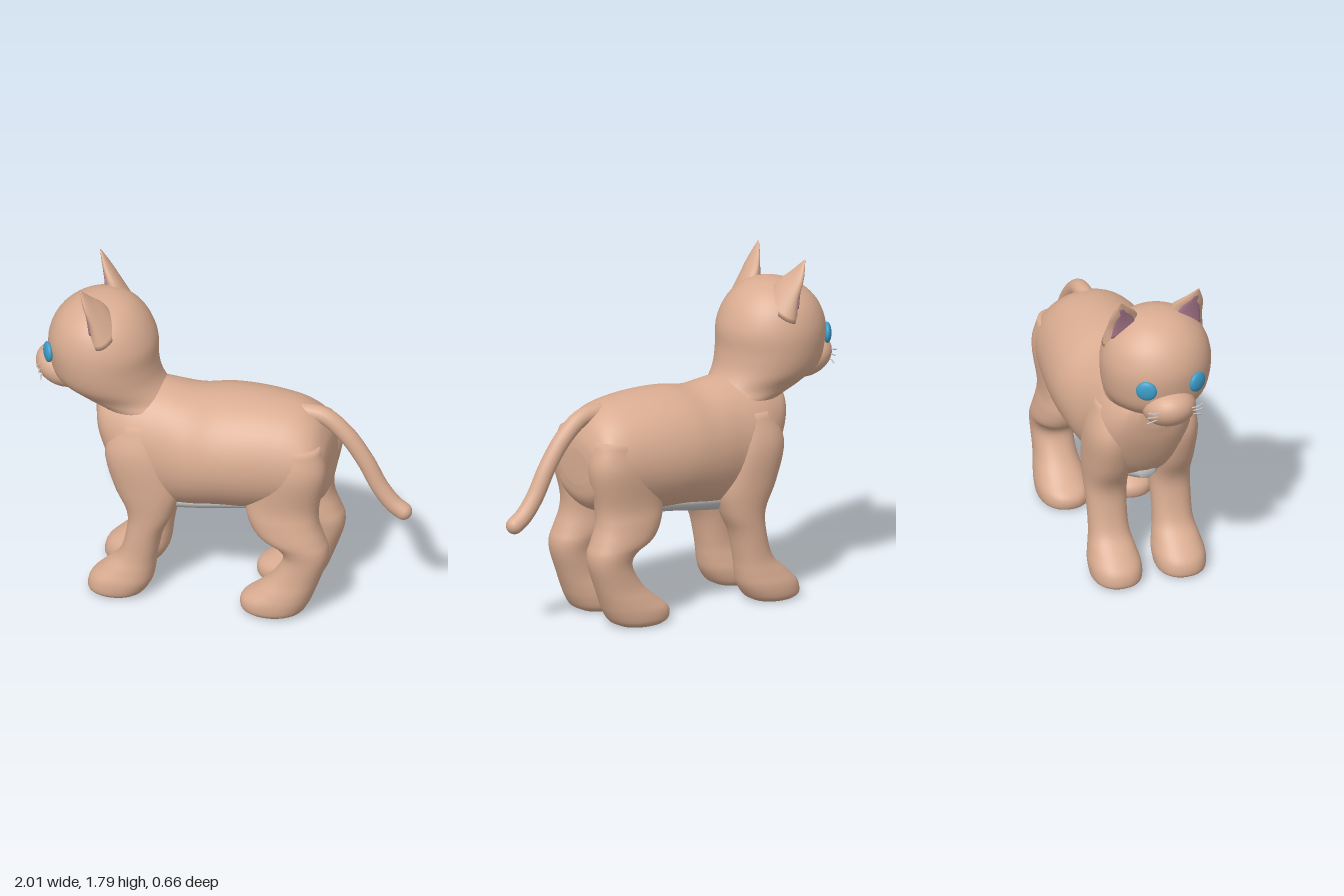
import * as THREE from 'three';

const paint = color => new THREE.MeshStandardMaterial({ color });
const fur = paint(0xd9ac91), grey = paint(0xcccccc), blue = paint(0x3d9cc8), pink = paint(0xa8788c);

// A section is [centre xyz, half-axis u xyz, half-axis v xyz]
const level = (y, x0, x1, z0, z1) =>
  [(x0 + x1) / 2, y, (z0 + z1) / 2, (x1 - x0) / 2, 0, 0, 0, 0, (z1 - z0) / 2];
const slice = (x, top, bottom, rz) =>
  [x, (top + bottom) / 2, 0, 0, (top - bottom) / 2, 0, 0, 0, rz];

// Smooth closed skin through elliptical sections
function loft(sections, steps = 5, sides = 36, power = 1) {
  const curves = [0, 3, 6].map(k => new THREE.CatmullRomCurve3(
    sections.map(s => new THREE.Vector3(s[k], s[k + 1], s[k + 2])), false, 'catmullrom', 0.5));
  const rows = (sections.length - 1) * steps;
  const pos = [], index = [];
  const bend = t => Math.sign(t) * Math.abs(t) ** power;
  for (let i = 0; i <= rows; i++) {
    const [c, u, v] = curves.map(curve => curve.getPoint(i / rows));
    for (let j = 0; j < sides; j++) {
      const a = j / sides * Math.PI * 2;
      const p = c.clone().addScaledVector(u, bend(Math.cos(a))).addScaledVector(v, bend(Math.sin(a)));
      pos.push(p.x, p.y, p.z);
      if (i < rows) {
        const k = i * sides + j, n = i * sides + (j + 1) % sides;
        index.push(k, n, k + sides, n, n + sides, k + sides);
      }
    }
  }
  // End caps
  const first = pos.length / 3;
  for (const s of [sections[0], sections.at(-1)]) pos.push(s[0], s[1], s[2]);
  for (let j = 0; j < sides; j++) {
    const n = (j + 1) % sides, base = rows * sides;
    index.push(first, n, j, first + 1, base + j, base + n);
  }
  // Turn the faces outward
  let volume = 0;
  const at = i => new THREE.Vector3().fromArray(pos, i * 3);
  for (let i = 0; i < index.length; i += 3)
    volume += at(index[i]).dot(at(index[i + 1]).cross(at(index[i + 2])));
  if (volume < 0) index.reverse();
  const g = new THREE.BufferGeometry();
  g.setAttribute('position', new THREE.Float32BufferAttribute(pos, 3));
  g.setIndex(index);
  g.computeVertexNormals();
  return g;
}

export function createModel() {
  const cat = new THREE.Group();
  cat.name = 'cat';
  const add = (name, geometry, material = fur) => {
    const mesh = new THREE.Mesh(geometry, material);
    mesh.name = name;
    cat.add(mesh);
    return mesh;
  };
  const ball = (name, material, p, r) => {
    const mesh = add(name, new THREE.SphereGeometry(1, 28, 20), material);
    mesh.position.set(...p);
    mesh.scale.set(...r);
    return mesh;
  };

  // Torso, chest to rump
  add('body', loft([
    slice(-0.665, 1.08, 0.96, 0.08), slice(-0.63, 1.14, 0.82, 0.17), slice(-0.55, 1.17, 0.65, 0.23),
    slice(-0.45, 1.19, 0.55, 0.265), slice(-0.3, 1.18, 0.5, 0.28), slice(-0.15, 1.16, 0.51, 0.31),
    slice(0, 1.18, 0.535, 0.33), slice(0.15, 1.185, 0.545, 0.325), slice(0.3, 1.175, 0.56, 0.305),
    slice(0.42, 1.15, 0.58, 0.285), slice(0.51, 1.09, 0.61, 0.265), slice(0.56, 1.0, 0.67, 0.22),
    slice(0.575, 0.93, 0.75, 0.12),
  ], 5, 44));

  // Pale underside
  add('belly', loft([
    slice(-0.52, 0.64, 0.56, 0.04), slice(-0.44, 0.64, 0.525, 0.1), slice(-0.3, 0.64, 0.48, 0.16),
    slice(-0.15, 0.66, 0.495, 0.19), slice(0.05, 0.68, 0.525, 0.19), slice(0.25, 0.68, 0.54, 0.15),
    slice(0.4, 0.68, 0.57, 0.08),
  ]), grey);

  // Skull and neck in one skin
  add('head', loft([
    level(0.92, -0.62, -0.12, -0.16, 0.16), level(1.05, -0.665, -0.18, -0.2, 0.2),
    level(1.12, -0.8, -0.27, -0.215, 0.215), level(1.2, -0.895, -0.335, -0.262, 0.262),
    level(1.3, -0.925, -0.36, -0.285, 0.285), level(1.42, -0.932, -0.365, -0.287, 0.287),
    level(1.53, -0.89, -0.41, -0.25, 0.25), level(1.61, -0.81, -0.48, -0.175, 0.175),
    level(1.65, -0.72, -0.56, -0.09, 0.09), level(1.66, -0.65, -0.63, -0.01, 0.01),
  ], 5, 44));
  const muzzle = ball('muzzle', fur, [-0.86, 1.205, 0], [0.15, 0.105, 0.14]);
  muzzle.rotation.z = -0.35;
  ball('nose', grey, [-0.985, 1.245, 0], [0.015, 0.014, 0.022]);

  // Tail with a rounded tip
  const tailPath = [[0.36, 1.1], [0.45, 1.11], [0.54, 1.095], [0.65, 1.005], [0.75, 0.865],
    [0.83, 0.715], [0.9, 0.625], [0.955, 0.585]].map(([x, y]) => new THREE.Vector3(x, y, 0));
  add('tail', new THREE.TubeGeometry(new THREE.CatmullRomCurve3(tailPath), 40, 0.046, 18));
  ball('tailTip', fur, [0.955, 0.585, 0], [0.045, 0.045, 0.045]);

  for (const s of [1, -1]) {
    const side = s > 0 ? 'left' : 'right';
    const leg = (y, x0, x1, z0, z1) => level(y, x0, x1, s * z0, s * z1);

    add(side + 'FrontLeg', loft([
      leg(0, -0.655, -0.42, 0.07, 0.28), leg(0.025, -0.68, -0.38, 0.045, 0.305),
      leg(0.09, -0.665, -0.34, 0.04, 0.31), leg(0.16, -0.595, -0.325, 0.055, 0.295),
      leg(0.24, -0.515, -0.315, 0.07, 0.28), leg(0.38, -0.475, -0.285, 0.07, 0.28),
      leg(0.5, -0.475, -0.23, 0.06, 0.285), leg(0.65, -0.545, -0.2, 0.05, 0.295),
      leg(0.85, -0.59, -0.25, 0.06, 0.295), leg(1.02, -0.52, -0.32, 0.08, 0.24),
    ], 5, 32, 0.9));

    add(side + 'HindLeg', loft([
      leg(0, 0.165, 0.42, 0.07, 0.28), leg(0.025, 0.135, 0.465, 0.045, 0.305),
      leg(0.08, 0.14, 0.5, 0.04, 0.31), leg(0.14, 0.215, 0.525, 0.05, 0.3),
      leg(0.22, 0.3, 0.555, 0.065, 0.285), leg(0.33, 0.36, 0.592, 0.065, 0.283),
      leg(0.4, 0.33, 0.596, 0.055, 0.29), leg(0.46, 0.225, 0.575, 0.045, 0.297),
      leg(0.55, 0.17, 0.545, 0.045, 0.287), leg(0.65, 0.16, 0.545, 0.04, 0.275),
      leg(0.85, 0.22, 0.585, 0.04, 0.29), leg(1.0, 0.32, 0.545, 0.06, 0.255),
    ], 5, 32, 0.9));

    // Pointed ear, with its hollow on the forward face
    add(side + 'Ear', loft([
      [-0.6, 1.53, s * 0.175, 0, -0.05, s * 0.1, 0.07, 0.02, 0],
      [-0.635, 1.63, s * 0.18, 0, -0.035, s * 0.08, 0.04, 0.01, 0],
      [-0.68, 1.71, s * 0.2, 0, -0.015, s * 0.05, 0.022, 0.005, 0],
      [-0.718, 1.79, s * 0.213, 0, 0, s * 0.004, 0.003, 0, 0],
    ], 5, 24));
    add(side + 'InnerEar', loft([
      [-0.655, 1.575, s * 0.175, 0, -0.03, s * 0.07, 0.022, 0, 0],
      [-0.674, 1.65, s * 0.185, 0, -0.02, s * 0.05, 0.014, 0, 0],
      [-0.709, 1.745, s * 0.207, 0, 0, s * 0.012, 0.004, 0, 0],
    ], 5, 20), pink);

    // Eye set into the face
    const eye = ball(side + 'Eye', blue, [-0.908, 1.35, s * 0.14], [0.022, 0.055, 0.055]);
    eye.rotation.y = s * 0.5;

    // Whiskers
    for (const [y, rise, back] of [[1.235, 0.015, 0], [1.215, 0, 0.01], [1.195, -0.02, 0.02]]) {
      const path = new THREE.QuadraticBezierCurve3(
        new THREE.Vector3(-0.95 + back, y, s * 0.05),
        new THREE.Vector3(-0.985 + back, y, s * 0.1),
        new THREE.Vector3(-0.965 + back, y + rise, s * 0.15));
      add(side + 'Whisker', new THREE.TubeGeometry(path, 8, 0.004, 6), grey);
    }
  }
  return cat;
}
